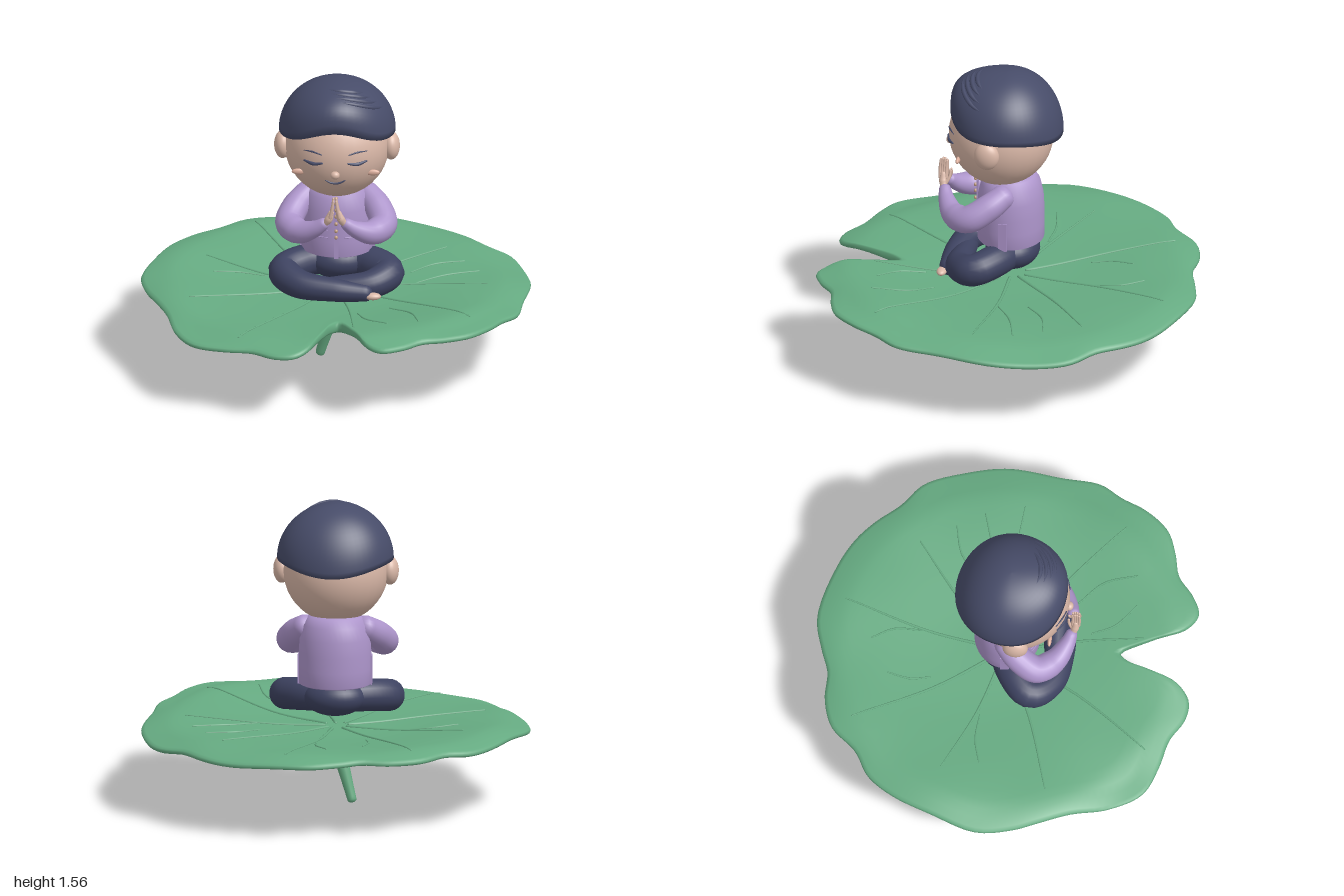
import * as THREE from 'three';

const mat = (name, color) => Object.assign(new THREE.MeshStandardMaterial({ color }), { name });
const V = (x, y, z) => new THREE.Vector3(x, y, z);
const smooth = THREE.MathUtils.smoothstep;
const CX = 0.01; // figure's centre line

// Closed skin through rows of points, each row a loop
function loft(rows) {
  const n = rows[0].length, idx = [];
  for (let i = 0; i < rows.length - 1; i++) {
    for (let j = 0; j < n; j++) {
      const a = i * n + j, b = i * n + (j + 1) % n;
      idx.push(a, a + n, b, b, a + n, b + n);
    }
  }
  const g = new THREE.BufferGeometry().setFromPoints(rows.flat());
  g.setIndex(idx);
  g.computeVertexNormals();
  return g;
}

// Tapered tube with round ends; radii are spread evenly along the path
function limb(points, radii, steps = 24, sides = 16) {
  const curve = new THREE.CatmullRomCurve3(points.map(p => V(...p)));
  const { tangents, normals, binormals } = curve.computeFrenetFrames(steps, false);
  const rows = [];
  const ring = (i, r, shift) => {
    const c = curve.getPointAt(i / steps).addScaledVector(tangents[i], shift);
    rows.push(Array.from({ length: sides }, (_, j) => {
      const a = j / sides * Math.PI * 2;
      return c.clone().addScaledVector(normals[i], Math.cos(a) * r).addScaledVector(binormals[i], -Math.sin(a) * r);
    }));
  };
  const radius = i => {
    const f = i / steps * (radii.length - 1), k = Math.min(Math.floor(f), radii.length - 2);
    return THREE.MathUtils.lerp(radii[k], radii[k + 1], f - k);
  };
  const cap = [0, 1, 2].map(k => k * Math.PI / 6);
  for (const a of cap) ring(0, radius(0) * Math.sin(a), -radius(0) * Math.cos(a) * 0.7);
  for (let i = 0; i <= steps; i++) ring(i, radius(i), 0);
  for (const a of cap.reverse()) ring(steps, radius(steps) * Math.sin(a), radius(steps) * Math.cos(a) * 0.7);
  return loft(rows);
}

// Leaf outline (x, z), counter-clockwise from the notch
const rim = [[0.04, 0.59], [0.12, 0.75], [0.19, 0.91], [0.28, 0.97], [0.38, 0.93], [0.48, 0.85], [0.6, 0.82],
  [0.72, 0.77], [0.82, 0.65], [0.88, 0.52], [0.95, 0.4], [0.97, 0.2], [1, -0.08], [0.96, -0.3], [0.88, -0.5],
  [0.75, -0.61], [0.65, -0.73], [0.55, -0.82], [0.4, -0.9], [0.1, -0.98], [-0.08, -0.94], [-0.2, -0.9],
  [-0.35, -0.9], [-0.5, -0.85], [-0.62, -0.72], [-0.75, -0.64], [-0.85, -0.5], [-0.93, -0.3], [-1, -0.07],
  [-0.97, 0.12], [-0.92, 0.25], [-0.85, 0.42], [-0.8, 0.6], [-0.7, 0.77], [-0.55, 0.84], [-0.4, 0.88],
  [-0.28, 0.95], [-0.18, 0.96], [-0.1, 0.9], [-0.04, 0.75], [0, 0.63]];

// Nearly flat top with a drooping edge that rises and falls around the leaf
function leafTop(x, z) {
  const r = Math.hypot(x, z), a = Math.atan2(x, z);
  return 0.395 + 0.038 * smooth(r, 0.2, 0.85) - 0.03 * smooth(r, 0.84, 1)
    + (0.025 * Math.sin(2 * a) + 0.011 * Math.sin(3 * a)) * smooth(r, 0.35, 1)
    + 0.005 * Math.sin(9 * a) * smooth(r, 0.6, 0.95);
}

// Leaf is thick in the middle, so the underside is a bowl
const leafDepth = (x, z) => 0.033 + 0.064 * (1 - smooth(Math.hypot(x, z), 0.2, 0.85));

function leafGeometry() {
  const loop = new THREE.CatmullRomCurve3(rim.map(([x, z]) => V(x, 0, z)), true).getPoints(180).slice(0, -1);
  const row = (s, drop) => loop.map(p => {
    const x = p.x * s, z = p.z * s;
    return V(x, leafTop(x, z) - drop * leafDepth(x, z), z);
  });
  const rows = [];
  for (let i = 0; i <= 20; i++) rows.push(row(i / 20 * 0.98, 0));
  rows.push(row(0.995, 0.2), row(1, 0.5), row(0.995, 0.8));
  for (let i = 20; i >= 0; i--) rows.push(row(i / 20 * 0.98, 1));
  return loft(rows);
}

// Hair dome: angle a runs round from the front, t from crown to hairline
function hairPoint(a, t, lift = 0) {
  const x = Math.sin(a), z = Math.cos(a), front = Math.max(0, z);
  const edge = z > 0 ? 1.272 + 0.08 * Math.pow(Math.cos(x * Math.PI / 2), 2) : 1.272 - 0.05 * Math.pow(-z, 3);
  const h = Math.pow(Math.max(0, Math.cos(t)), 1 - 0.4 * front * front);
  const r = Math.sin(t);
  return V(CX + x * r * (0.3 + lift), edge + (1.555 + lift - edge) * h, 0.03 + z * r * (0.29 + lift));
}

function hairGeometry() {
  const rows = [];
  const ring = f => rows.push(Array.from({ length: 56 }, (_, j) => f(j / 56 * Math.PI * 2)));
  for (let i = 0; i <= 18; i++) ring(a => hairPoint(a, i / 18 * Math.PI / 2));
  ring(a => {
    const p = hairPoint(a, Math.PI / 2);
    return V(CX + (p.x - CX) * 0.82, p.y + 0.006, 0.03 + (p.z - 0.03) * 0.82);
  });
  return loft(rows);
}

export function createModel() {
  const model = new THREE.Group();
  const green = mat('leafGreen', 0x66ab82), skin = mat('skin', 0xd9b7a7), lilac = mat('shirtLilac', 0xad95cb);
  const navy = mat('hairNavy', 0x474c69), pants = mat('trouserNavy', 0x3d4260), cheekPink = mat('cheekPink', 0xdcae9c);
  const gold = mat('beadTan', 0xc4a084);
  const add = (name, geo, material, parent = model) => {
    const m = new THREE.Mesh(geo, material);
    m.name = name;
    parent.add(m);
    return m;
  };
  const ball = (name, material, pos, size, parent) => {
    const m = add(name, new THREE.SphereGeometry(1, 32, 24), material, parent);
    m.position.set(...pos);
    m.scale.set(...size);
    return m;
  };
  const group = name => {
    const g = new THREE.Group();
    g.name = name;
    model.add(g);
    return g;
  };

  // Leaf, veins and stalk
  add('leaf', leafGeometry(), green);
  const veins = group('leafVeins');
  const vein = (pts, r) => {
    const flat = new THREE.CatmullRomCurve3(pts.map(([x, z]) => V(x, 0, z))).getPoints(14);
    add('vein', limb(flat.map(p => [p.x, leafTop(p.x, p.z) + 0.001, p.z]), r, 20, 6), green, veins);
  };
  for (const [x, z] of [[-0.44, -0.75], [0.2, -0.84], [0.55, -0.49], [0.78, 0.03], [0.71, 0.56], [0.12, 0.7],
    [-0.47, 0.76], [-0.74, 0.27], [-0.67, -0.27]]) {
    vein([[x * 0.08, z * 0.08], [x * 0.5 + z * 0.03, z * 0.5 - x * 0.03], [x, z]], [0.009, 0.007, 0.004]);
  }
  for (const pts of [[[0, -0.69], [0.06, -0.58], [0.07, -0.44]], [[-0.18, -0.59], [-0.2, -0.48], [-0.18, -0.37]],
    [[0.65, -0.31], [0.5, -0.27], [0.38, -0.17]], [[0.73, -0.17], [0.55, -0.11], [0.41, -0.02]],
    [[0.45, 0.64], [0.4, 0.47], [0.29, 0.35]], [[0.29, 0.65], [0.18, 0.55], [0.13, 0.43]],
    [[-0.63, -0.08], [-0.5, -0.11], [-0.36, -0.1]]]) vein(pts, [0.004, 0.006, 0.004]);
  add('stalk', limb([[0.01, 0.305, 0.02], [0.0, 0.265, 0.02], [-0.02, 0.22, 0.01], [-0.05, 0.12, -0.01],
    [-0.08, 0.015, -0.03]], [0.045, 0.022, 0.034, 0.032, 0.029, 0.026, 0.024]), green);

  // Crossed legs; the right shin lies in front
  ball('pelvis', pants, [CX, 0.55, 0.0], [0.165, 0.1, 0.14]);
  add('leftLeg', limb([[0.08, 0.55, 0.0], [0.19, 0.547, 0.055], [0.277, 0.528, 0.145], [0.2, 0.5, 0.235],
    [0.04, 0.485, 0.255], [-0.12, 0.475, 0.26]], [0.08, 0.085, 0.082, 0.07, 0.06, 0.05], 36, 20), pants);
  add('rightLeg', limb([[-0.06, 0.55, 0.0], [-0.17, 0.547, 0.055], [-0.258, 0.528, 0.145], [-0.18, 0.5, 0.25],
    [0.0, 0.487, 0.297], [0.17, 0.475, 0.305]], [0.08, 0.085, 0.082, 0.07, 0.06, 0.045], 36, 20), pants);
  ball('rightFoot', skin, [0.203, 0.466, 0.328], [0.043, 0.019, 0.026]);

  // Shirt body
  const profile = [[0, 0.612], [0.17, 0.612], [0.186, 0.62], [0.187, 0.7], [0.187, 0.78], [0.182, 0.86], [0.165, 0.93],
    [0.135, 0.972], [0.08, 0.985], [0, 0.985]].map(p => new THREE.Vector2(...p));
  const shirt = add('shirt', new THREE.LatheGeometry(profile, 40), lilac);
  shirt.position.set(CX, 0, 0.01);
  shirt.scale.z = 0.92;
  const bodyZ = x => 0.01 + 0.92 * Math.sqrt(0.187 ** 2 - (x - CX) ** 2);
  add('placket', new THREE.BoxGeometry(0.022, 0.3, 0.008), lilac).position.set(CX, 0.765, 0.184);
  for (const y of [0.735, 0.77, 0.81, 0.85, 0.885, 0.92, 0.95]) {
    ball('bead', gold, [CX, y, 0.196], [0.009, 0.01, 0.008]);
  }
  for (const s of [-1, 1]) {
    const pocketPath = y => [0.045, 0.07, 0.095, 0.12].map(d => [CX + s * d, y, bodyZ(CX + s * d)]);
    add('pocketFlap', limb(pocketPath(0.766), [0.003, 0.003], 10, 6), lilac);
    add('pocketHem', limb(pocketPath(0.726), [0.003, 0.003], 10, 6), lilac);
    add('sideVent', new THREE.BoxGeometry(0.008, 0.155, 0.045), lilac).position.set(CX + s * 0.187, 0.692, 0.01);
  }

  // Arms and joined hands
  for (const s of [-1, 1]) {
    const side = s > 0 ? 'left' : 'right', at = (x, y, z) => [CX + s * x, y, z];
    add(side + 'Arm', limb([at(0.15, 0.915, 0.01), at(0.208, 0.865, 0.08), at(0.242, 0.805, 0.18), at(0.18, 0.795, 0.27),
      at(0.1, 0.835, 0.325), at(0.055, 0.872, 0.345)], [0.062, 0.07, 0.072, 0.068, 0.05, 0.03], 32, 20), lilac);
    const hand = group(side + 'Hand');
    add('palm', limb([at(0.052, 0.868, 0.35), at(0.032, 0.9, 0.36), at(0.018, 0.94, 0.362)],
      [0.015, 0.021, 0.014], 12, 12), skin, hand);
    for (let i = 0; i < 4; i++) {
      const z = 0.345 + i * 0.011, tip = 1.0 + 0.017 * Math.sin((i + 0.5) * Math.PI / 4);
      add('finger', limb([at(0.024, 0.915, z), at(0.013, 0.965, z + 0.002), at(0.007, tip, z)],
        [0.009, 0.008, 0.006], 10, 8), skin, hand);
    }
    add('thumb', limb([at(0.03, 0.89, 0.345), at(0.018, 0.925, 0.328), at(0.01, 0.955, 0.325)],
      [0.01, 0.008, 0.006], 8, 8), skin, hand);
  }

  // Head and ears
  ball('head', skin, [CX, 1.203, 0.06], [0.27, 0.272, 0.27]);
  for (const s of [-1, 1]) ball('ear', skin, [CX + s * 0.278, 1.2, 0.073], [0.045, 0.074, 0.066]);
  ball('nose', skin, [CX, 1.13, 0.328], [0.024, 0.021, 0.021]);

  // Face lines laid on the head
  const face = group('face');
  const line = (name, pts, r) => add(name, limb(pts.map(([x, y]) => {
    const z = 0.06 + Math.sqrt(0.271 ** 2 - x * x - (y - 1.203) ** 2);
    return [CX + x, y, z];
  }), r, 14, 8), navy, face);
  for (const s of [-1, 1]) {
    line('closedEye', [[s * 0.066, 1.193], [s * 0.11, 1.184], [s * 0.16, 1.193]], [0.005, 0.01, 0.005]);
    line('eyebrow', [[s * 0.07, 1.238], [s * 0.115, 1.248], [s * 0.162, 1.246]], [0.003, 0.005, 0.002]);
    ball('cheek', cheekPink, [CX + s * 0.189, 1.116, 0.243], [0.037, 0.016, 0.011], face);
  }
  line('mouth', [[-0.05, 1.092], [-0.02, 1.077], [0.02, 1.077], [0.05, 1.092]], [0.003, 0.006, 0.006, 0.003]);

  // Hair cap with swept locks
  add('hair', hairGeometry(), navy).material.side = THREE.DoubleSide;
  for (let i = 0; i < 4; i++) {
    const pts = [0, 1, 2, 3, 4].map(k => {
      const p = hairPoint(-0.3 + i * 0.1 + k * 0.32, 0.5 + i * 0.13 + k * 0.03, -0.004);
      return [p.x, p.y, p.z];
    });
    add('hairLock', limb(pts, [0.004, 0.012, 0.013, 0.003], 20, 8), navy);
  }
  return model;
}
